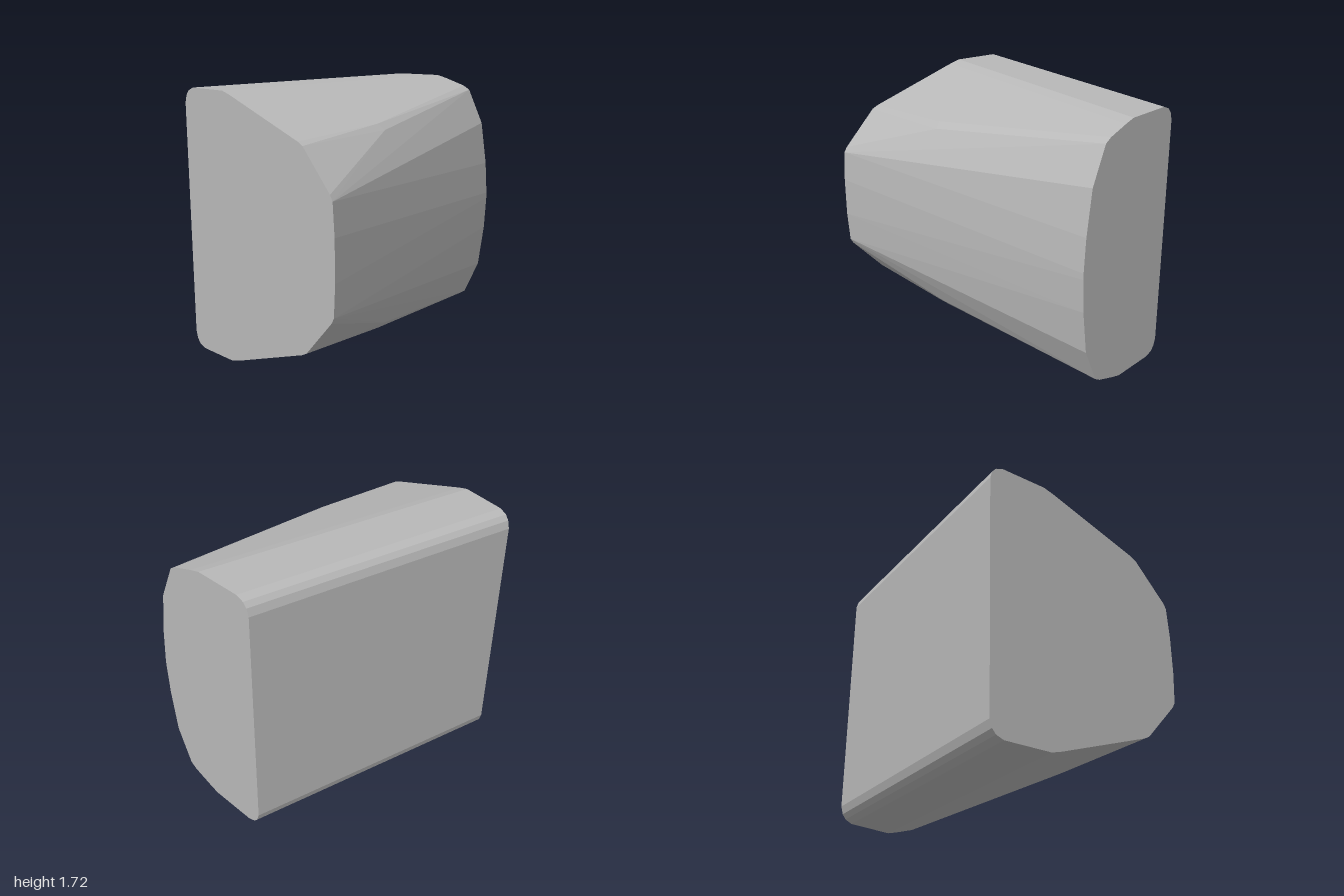
import * as THREE from 'three';
import { ConvexGeometry } from 'three/addons/geometries/ConvexGeometry.js';

const MID = 0.86; // height of the symmetry plane

// Upper half profiles as [z, height above the symmetry plane]
const back = [[-0.69, 0.76], [-0.675, 0.81], [-0.65, 0.84], [-0.6, 0.86], [-0.29, 0.86], [-0.22, 0.84]];
const wideEnd = [...back, [0.4, 0.625], [0.44, 0.605], [0.66, 0.365], [0.68, 0.33], [0.693, 0.13]];
const narrowEnd = [...back, [-0.08, 0.793], [-0.035, 0.765], [0.07, 0.53], [0.11, 0.24], [0.123, 0.02]];

// Slanted end planes
const wideX = (z) => -1 + 0.029 * (z + 0.69);
const narrowX = (z) => 0.81 + 0.234 * (z + 0.69);

export function createModel() {
  const group = new THREE.Group();
  const grey = new THREE.MeshStandardMaterial({ color: 0xb8b8b8 });
  grey.name = 'grey';

  // Both ends and the kinks in the bevel, mirrored top to bottom
  const points = [];
  for (const side of [1, -1]) {
    const add = (x, z, h) => points.push(new THREE.Vector3(x, MID + side * h, z));
    for (const [z, h] of wideEnd) add(wideX(z), z, h);
    for (const [z, h] of narrowEnd) add(narrowX(z), z, h);
    add(-0.28, 0.31, 0.656);
    add(-0.25, 0.345, 0.618);
  }

  // Faceted solid stretched between the two ends
  const body = new THREE.Mesh(new ConvexGeometry(points), grey);
  body.name = 'taperedBody';
  group.add(body);
  return group;
}
